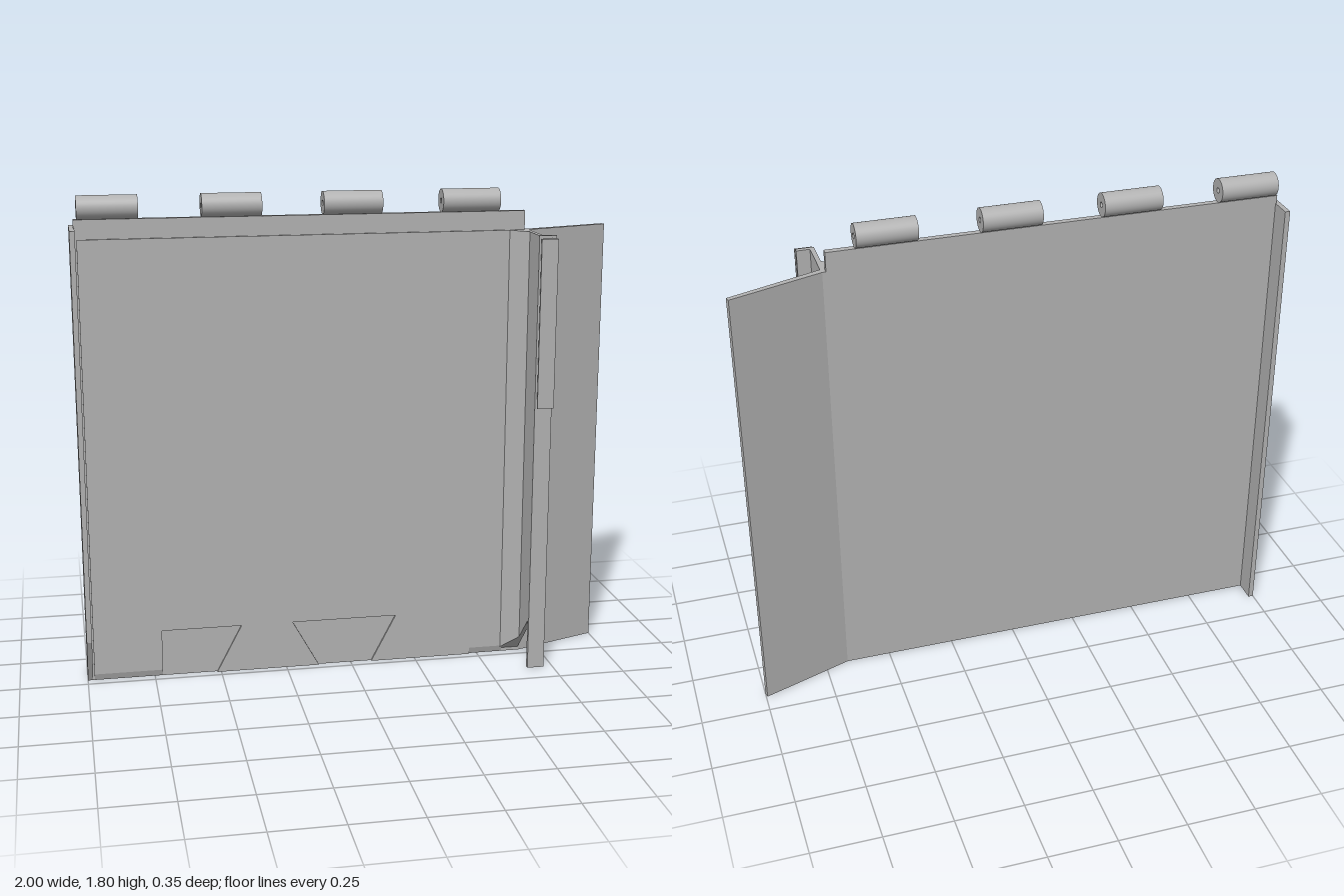
import * as THREE from 'three';

const metal = new THREE.MeshStandardMaterial({ color: 0xb2b2b2 });
metal.name = 'grey metal';

const toShape = (pts) => new THREE.Shape(pts.map(([a, b]) => new THREE.Vector2(a, b)));
const extrude = (shape, depth, curveSegments = 12) =>
  new THREE.ExtrudeGeometry(shape, { depth, bevelEnabled: false, curveSegments });

// Upright prism from a plan outline of [x, z] points
function upright(plan, y0, y1) {
  const g = extrude(toShape(plan.map(([x, z]) => [x, -z])), y1 - y0);
  return g.rotateX(-Math.PI / 2).translate(0, y0, 0);
}

// Move vertices by a rule
function reshape(g, rule) {
  const p = g.attributes.position;
  const v = new THREE.Vector3();
  for (let i = 0; i < p.count; i++) {
    v.fromBufferAttribute(p, i);
    rule(v);
    p.setXYZ(i, v.x, v.y, v.z);
  }
  g.computeVertexNormals();
  return g;
}

// Cut the foot of a prism so that it rises toward the front
const slantFoot = (g) => reshape(g, (v) => {
  if (v.y < 0.01) v.y = Math.max(0, v.z + 0.05);
});

export function createModel() {
  const group = new THREE.Group();
  group.name = 'hingedPanel';
  const add = (name, geometry) => {
    const mesh = new THREE.Mesh(geometry, metal);
    mesh.name = name;
    group.add(mesh);
    return mesh;
  };

  // Main sheet
  const back = -0.06, front = -0.037;
  add('mainPanel', upright([[-0.985, back], [0.652, back], [0.652, front], [-0.985, front]], 0, 1.72));

  // Raised front skin with two flared recesses and bevelled bottom corners
  const skin = extrude(toShape([
    [-0.975, 0], [-0.72, 0], [-0.72, 0.18], [-0.42, 0.18], [-0.515, 0],
    [-0.125, 0], [-0.225, 0.18], [0.175, 0.18], [0.08, 0], [0.468, 0],
    [0.47, 0], [0.6, 0], [0.6, 1.65], [-0.975, 1.65],
  ]), 0.008);
  reshape(skin, (v) => {
    if (v.z > 0.004 && v.y < 0.01 && (v.x < -0.71 || v.x > 0.469)) v.y = 0.025;
  });
  add('frontSkin', skin.translate(0, 0, front));

  // Right edge plate, with its foot cut back at the front
  const edge = extrude(toShape([
    [-0.14, 0], [-0.037, 0], [0.045, 0.18], [0.045, 1.69], [-0.14, 1.69],
  ]), 0.019);
  add('rightEdgePlate', edge.rotateY(-Math.PI / 2).translate(-0.981, 0, 0));

  // Angled wing on the left
  add('wing', upright([[0.65, -0.06], [0.665, -0.06], [0.995, -0.175], [1, -0.157], [0.67, -0.037], [0.65, -0.037]], 0, 1.65));

  // Forward flange, corner gusset and folded lip
  add('forwardFlange', slantFoot(upright([[0.652, -0.04], [0.668, -0.04], [0.668, 0.148], [0.652, 0.148]], 0, 1.65)));
  add('cornerGusset', slantFoot(upright([[0.585, -0.038], [0.653, -0.038], [0.653, 0.032]], 0, 1.65)));
  add('flangeLip', upright([[0.652, 0.133], [0.716, 0.133], [0.716, 0.15], [0.652, 0.15]], 0, 1.65));

  // Flared strip on the upper part of the lip
  add('lipStrip', upright([[0.672, 0.149], [0.7, 0.149], [0.716, 0.168], [0.716, 0.175], [0.654, 0.175], [0.654, 0.168]], 1.02, 1.64));

  // Hinge knuckles along the top
  const ring = new THREE.Shape().absarc(0, 0, 0.0425, 0, Math.PI * 2);
  ring.holes.push(new THREE.Path().absarc(0, 0, 0.01, 0, Math.PI * 2, true));
  const knuckle = extrude(ring, 0.214, 16).rotateY(Math.PI / 2);
  // Radial normals on the round walls
  const p = knuckle.attributes.position, n = knuckle.attributes.normal;
  for (let i = 0; i < p.count; i++) {
    if (Math.abs(n.getX(i)) > 0.5) continue;
    const r = Math.hypot(p.getY(i), p.getZ(i));
    const s = r < 0.02 ? -1 : 1;
    n.setXYZ(i, 0, s * p.getY(i) / r, s * p.getZ(i) / r);
  }
  for (let i = 0; i < 4; i++) {
    add('hingeKnuckle', knuckle).position.set(-0.973 + i * 0.4365, 1.7615, -0.046);
  }
  return group;
}
